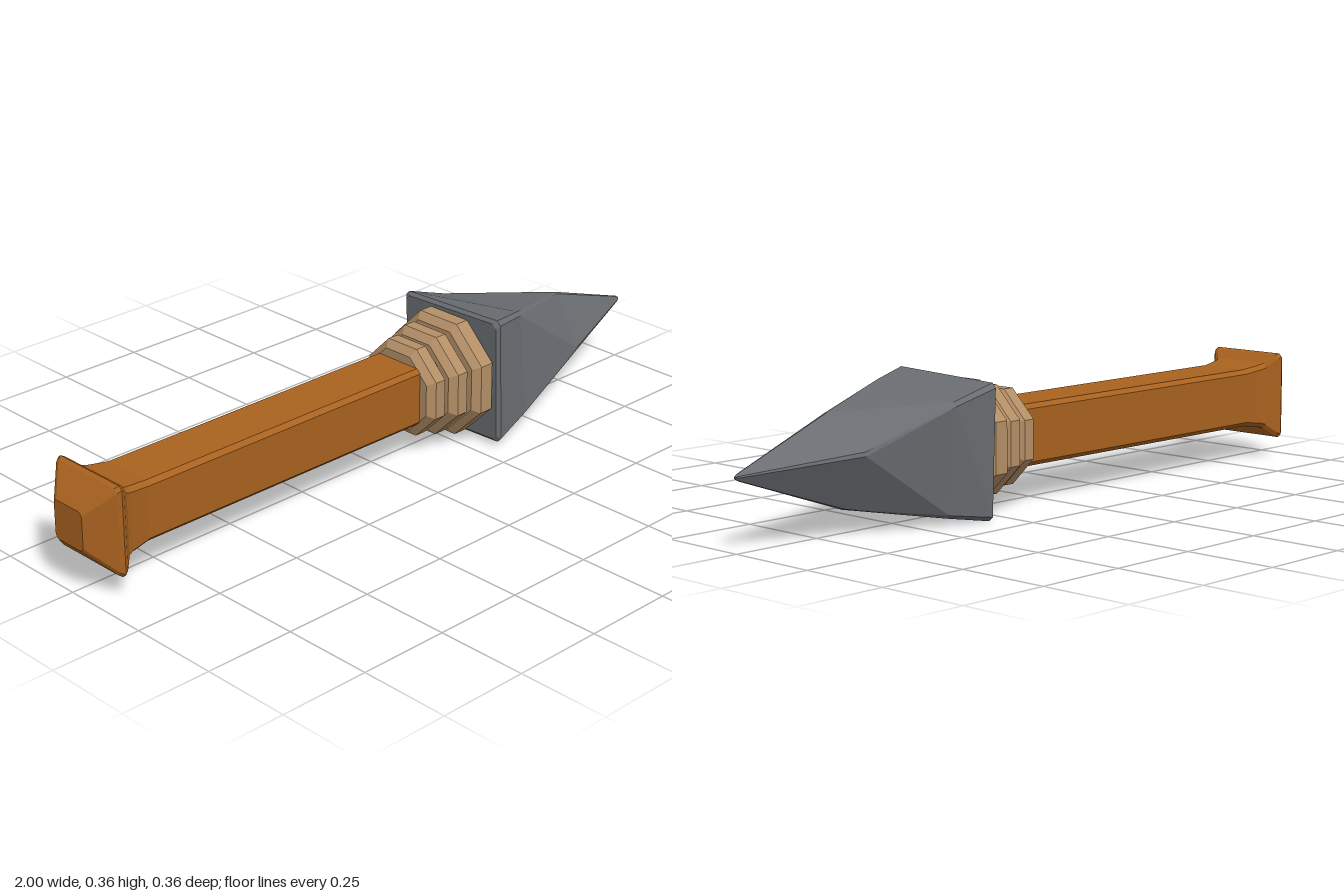
import * as THREE from 'three';

const CENTER_Y = 0.178;
const OCT = 2 - Math.SQRT2; // chamfer ratio that turns a square into a regular octagon

// Chamfered square at x: half width h, chamfer c, twisted by deg about the x axis
function section(x, h, c, deg = 0) {
  const k = h - c, a = THREE.MathUtils.degToRad(deg);
  return [[h, -k], [h, k], [k, h], [-k, h], [-h, k], [-h, -k], [-k, -h], [k, -h]].map(([s, t]) =>
    new THREE.Vector3(x, s * Math.sin(a) + t * Math.cos(a), -(s * Math.cos(a) - t * Math.sin(a))));
}

// Skin a row of sections running towards +x, closing both ends
function loft(name, rings, material) {
  const pos = [];
  const tri = (...points) => points.forEach((p) => pos.push(p.x, p.y, p.z));
  for (let k = 0; k < rings.length - 1; k++) {
    for (let i = 0; i < 8; i++) {
      const j = (i + 1) % 8;
      const a = rings[k][i], b = rings[k][j], c = rings[k + 1][j], d = rings[k + 1][i];
      tri(a, b, c);
      tri(a, c, d);
    }
  }
  const first = rings[0], last = rings[rings.length - 1];
  for (let i = 1; i < 7; i++) {
    tri(first[0], first[i + 1], first[i]);
    tri(last[0], last[i], last[i + 1]);
  }
  const geometry = new THREE.BufferGeometry();
  geometry.setAttribute('position', new THREE.Float32BufferAttribute(pos, 3));
  geometry.computeVertexNormals();
  const mesh = new THREE.Mesh(geometry, material);
  mesh.name = name;
  mesh.position.y = CENTER_Y;
  return mesh;
}

function flat(name, color) {
  const material = new THREE.MeshStandardMaterial({ color, flatShading: true });
  material.name = name;
  return material;
}

export function createModel() {
  const group = new THREE.Group();
  group.name = 'spearheadDagger';
  const wood = flat('wood', 0xa9621f);
  const cord = flat('cord', 0xb48f67);
  const stone = flat('stone', 0x696d71);

  // Square wooden grip, flaring slightly towards the pommel
  group.add(loft('handle', [
    section(-0.9, 0.096, 0.012), section(-0.88, 0.09, 0.012),
    section(-0.82, 0.082, 0.012), section(0.31, 0.082, 0.012),
  ], wood));

  // Bevelled pommel with a wide rim
  group.add(loft('pommel', [
    section(-1, 0.053, 0.01), section(-0.94, 0.116, 0.01), section(-0.93, 0.122, 0.01),
    section(-0.92, 0.117, 0.01), section(-0.893, 0.092, 0.01),
  ], wood));

  // Three octagonal wraps, growing towards the head
  const wraps = [[0.1, 0.167, 0.126], [0.167, 0.235, 0.142], [0.235, 0.31, 0.162]];
  wraps.forEach(([x0, x1, h], i) => {
    const profile = [[x0, h - 0.02], [x0 + 0.017, h], [x1 - 0.017, h], [x1, h - 0.02]];
    group.add(loft(`wrap${i + 1}`, profile.map(([x, r]) => section(x, r, r * OCT)), cord));
  });

  // Twisted four-sided head with bevelled ridges
  group.add(loft('head', [
    section(0.304, 0.167, 0.012, -2), section(0.313, 0.176, 0.012, -2),
    section(0.43, 0.149, 0.01, -6), section(0.69, 0.088, 0.008, -30),
    section(0.99, 0.008, 0.003, -30), section(1, 0.003, 0.001, -30),
  ], stone));

  return group;
}
